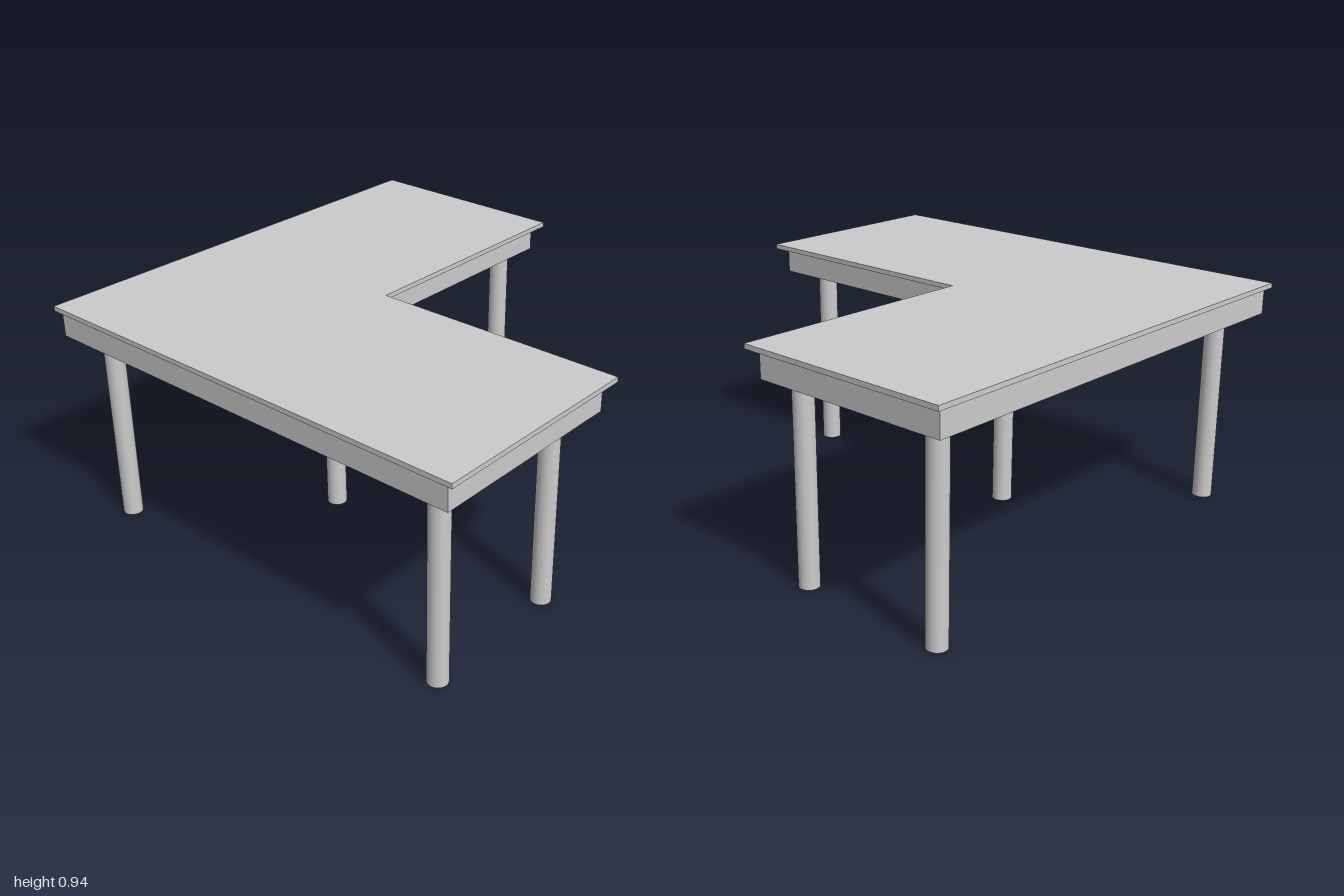
import * as THREE from 'three';

const material = new THREE.MeshStandardMaterial({ color: 0xcccccc });

// L-shaped slab: outer edges x0..x1, z0..z1, inner corner at (xi, zi)
function lSlab(name, x0, x1, z0, z1, xi, zi, y, height) {
  const outline = [[x0, z1], [x1, z1], [x1, zi], [xi, zi], [xi, z0], [x0, z0]];
  const shape = new THREE.Shape(outline.map(([x, z]) => new THREE.Vector2(x, -z)));
  const geometry = new THREE.ExtrudeGeometry(shape, { depth: height, bevelEnabled: false });
  geometry.rotateX(-Math.PI / 2);
  const mesh = new THREE.Mesh(geometry, material);
  mesh.name = name;
  mesh.position.y = y;
  return mesh;
}

export function createModel() {
  const desk = new THREE.Group();
  desk.name = 'cornerDesk';

  const apronBottom = 0.81, apronTop = 0.918, deskTop = 0.938;

  // Thin worktop overhanging the apron
  desk.add(lSlab('worktop', -1, 1, -0.997, 0.997, -0.085, 0.077, apronTop, deskTop - apronTop));
  desk.add(lSlab('apron', -0.978, 0.969, -0.967, 0.977, -0.13, 0.123, apronBottom, apronTop - apronBottom));

  // Six round legs: outer corners, arm ends and the inner corner
  const legGeometry = new THREE.CylinderGeometry(0.041, 0.041, apronBottom, 32);
  const legs = {
    frontRightLeg: [-0.83, 0.863],
    frontLeftLeg: [0.843, 0.863],
    sideArmLeg: [0.843, 0.248],
    innerCornerLeg: [-0.226, 0.246],
    backInnerLeg: [-0.226, -0.857],
    backRightLeg: [-0.868, -0.857],
  };
  for (const [name, [x, z]] of Object.entries(legs)) {
    const leg = new THREE.Mesh(legGeometry, material);
    leg.name = name;
    leg.position.set(x, apronBottom / 2, z);
    desk.add(leg);
  }
  return desk;
}
